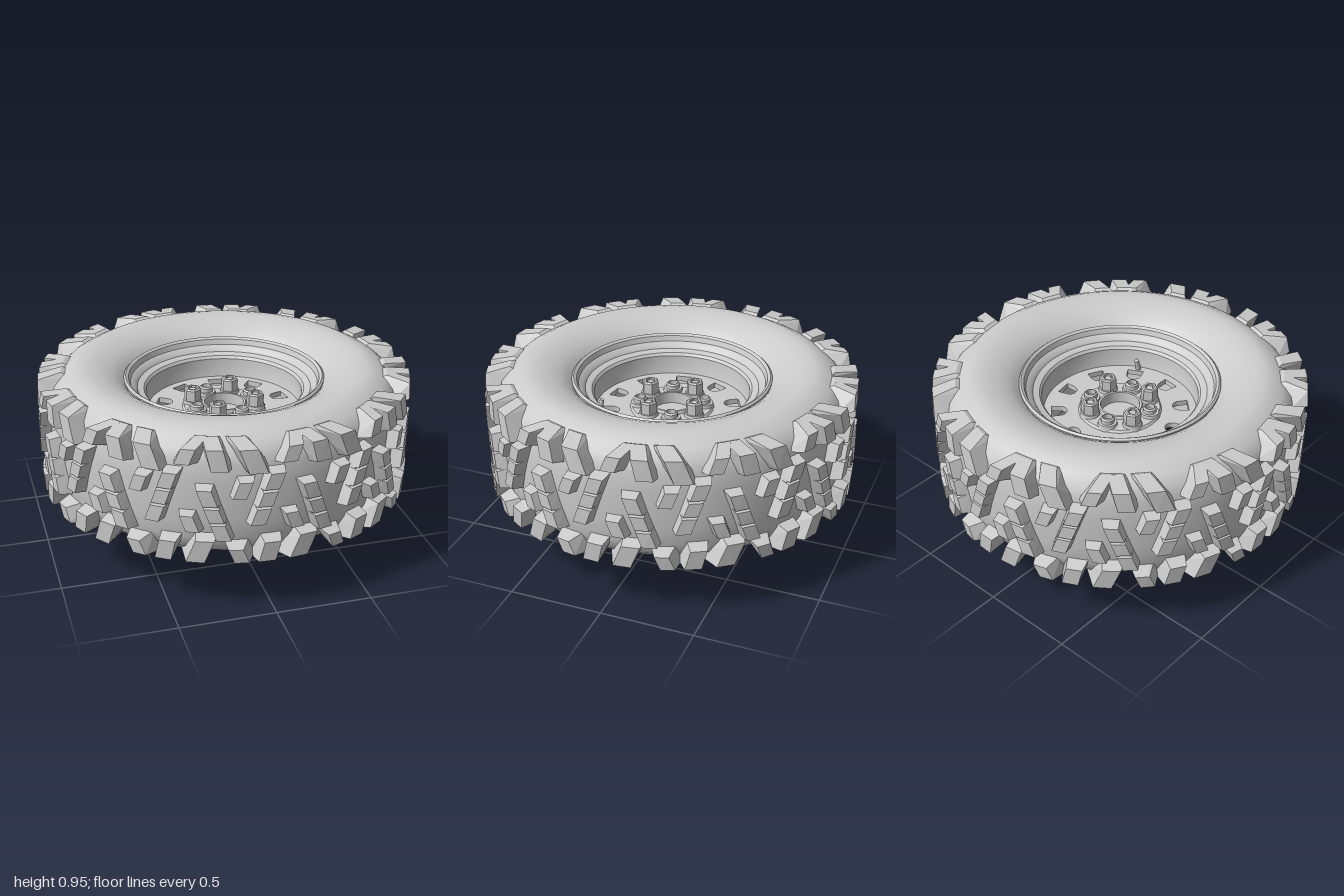
import * as THREE from 'three';
import { mergeGeometries, toCreasedNormals } from 'three/addons/utils/BufferGeometryUtils.js';
import { ConvexGeometry } from 'three/addons/geometries/ConvexGeometry.js';

const MID = 0.605; // height of the wheel's centre plane
const PERIODS = 12;
const DEG = Math.PI / 180;
const mat = new THREE.MeshStandardMaterial({ color: 0xcccccc });
const both = new THREE.MeshStandardMaterial({ color: 0xcccccc, side: THREE.DoubleSide });
const flat = new THREE.MeshStandardMaterial({ color: 0xcccccc, flatShading: true });

function add(group, name, geometry, material = mat) {
  const mesh = new THREE.Mesh(geometry, material);
  mesh.name = name;
  group.add(mesh);
  return mesh;
}

const lathe = (pts, seg = 72) =>
  toCreasedNormals(new THREE.LatheGeometry(pts.map(([r, y]) => new THREE.Vector2(r, y)), seg), 0.6);

// Horizontal plate with a round outline, a bore and optional cut-outs
function plate(outer, bore, y, thick, cutouts = []) {
  const shape = new THREE.Shape().absarc(0, 0, outer, 0, Math.PI * 2);
  if (bore) shape.holes.push(new THREE.Path().absarc(0, 0, bore, 0, Math.PI * 2, true));
  shape.holes.push(...cutouts);
  const g = new THREE.ExtrudeGeometry(shape, { depth: thick, bevelEnabled: false, curveSegments: 48 });
  return toCreasedNormals(g.rotateX(-Math.PI / 2).translate(0, y, 0), 0.6);
}

// Cut-out given by [sideways, radial] points, turned by an angle
function cutout(pts, a) {
  const c = Math.cos(a), s = Math.sin(a);
  return new THREE.Path(pts.map(([u, v]) => new THREE.Vector2(v * s + u * c, v * c - u * s)));
}

const polar = (g, r, a, y) => g.translate(r * Math.sin(a), y, -r * Math.cos(a));

// Tread block: profile of [radius, height above centre plane, half width], skewed as it runs outward
function lug(profile, angle, skew, pivot, flip) {
  const pts = [];
  for (const [r, h, w] of profile) {
    const run = h + (h > 0.2 ? 1 - r : 0) - pivot;
    for (const side of [-1, 1]) {
      const t = angle * DEG + skew * run + (side * w) / r;
      pts.push(new THREE.Vector3(r * Math.sin(t), MID + flip * h, r * Math.cos(t)));
    }
  }
  const g = new ConvexGeometry(pts);
  g.deleteAttribute('uv');
  return g;
}

function block(h0, h1, w, top, angle, skew, pivot, flip) {
  const b = 0.013;
  return lug([[0.91, h0 - b, w + b], [top, h0, w], [top, h1, w], [0.91, h1 + b, w + b]], angle, skew, pivot, flip);
}

function treadGeometry() {
  const parts = [];
  const shoulder = (w, start) => [
    [0.9, start - 0.012, w + 0.014], [0.995, start + 0.012, w], [0.988, 0.305, w],
    [0.865, 0.322, w * 0.9], [0.82, 0.3, w + 0.012], [0.9, 0.2, w + 0.014],
  ];
  for (let i = 0; i < PERIODS; i++) {
    // The lower half repeats the upper half, flipped and shifted by half a period
    for (const flip of [1, -1]) {
      const a = (i + (flip < 0 ? 0.5 : 0)) * (360 / PERIODS);
      // Long block split in three over a low core
      for (const [h0, h1] of [[-0.095, -0.01], [0.004, 0.078], [0.092, 0.175]])
        parts.push(block(h0, h1, 0.036, 0.997, a - 3, 0.36, 0.04, flip));
      parts.push(block(-0.09, 0.17, 0.036, 0.975, a - 3, 0.36, 0.04, flip));
      // Small block beside it
      parts.push(block(0.05, 0.135, 0.033, 0.992, a + 20, 0.38, 0.09, flip));
      // Shoulder lugs
      parts.push(lug(shoulder(0.046, 0.17), a - 7, -0.36, 0.25, flip));
      parts.push(lug(shoulder(0.036, 0.215), a + 3.5, 0.36, 0.25, flip));
      parts.push(lug(shoulder(0.042, 0.185), a + 13, -0.22, 0.25, flip));
    }
  }
  return mergeGeometries(parts);
}

function buildTyre() {
  const tyre = new THREE.Group();
  tyre.name = 'tyre';
  const half = [[0.935, 0.1], [0.928, 0.2], [0.905, 0.265], [0.86, 0.305], [0.8, 0.336], [0.76, 0.345],
    [0.71, 0.342], [0.65, 0.328], [0.595, 0.305], [0.55, 0.275], [0.525, 0.245], [0.5, 0.23]];
  const profile = [
    ...half.map(([r, h]) => [r, MID - h]).reverse(),
    [0.938, MID],
    ...half.map(([r, h]) => [r, MID + h]),
  ];
  add(tyre, 'carcass', lathe(profile, 96), both);
  add(tyre, 'treadBlocks', treadGeometry(), flat);
  return tyre;
}

function buildRim() {
  const rim = new THREE.Group();
  rim.name = 'rim';
  add(rim, 'barrel', lathe([
    [0.5, 0.83], [0.532, 0.85], [0.536, 0.874], [0.525, 0.884], [0.51, 0.874], [0.5, 0.845], [0.475, 0.83],
    [0.465, 0.815], [0.43, 0.805], [0.418, 0.79], [0.415, 0.69], [0.39, 0.63], [0.385, 0.51], [0.425, 0.46],
    [0.43, 0.39], [0.47, 0.375], [0.5, 0.355], [0.512, 0.33], [0.525, 0.322], [0.536, 0.335], [0.532, 0.36], [0.5, 0.38],
  ]), both);

  // Wheel disc with ten rounded vent slots
  const slot = [[-0.045, 0.37], [0.045, 0.37]];
  for (let i = 0; i <= 8; i++) {
    const t = (i / 8) * Math.PI;
    slot.push([0.04 * Math.cos(t), 0.325 - 0.04 * Math.sin(t)]);
  }
  const slots = [];
  for (let i = 0; i < 10; i++) slots.push(cutout(slot, (8 + i * 36) * DEG));
  add(rim, 'wheelDisc', plate(0.412, 0.108, 0.655, 0.03, slots));
  add(rim, 'mountingFace', lathe([[0.228, 0.68], [0.215, 0.698], [0.125, 0.7], [0.118, 0.715], [0.106, 0.715], [0.104, 0.64]]), both);

  // Valve stem
  const valve = new THREE.CylinderGeometry(0.012, 0.016, 0.07, 10).rotateX(-0.25);
  add(rim, 'valveStem', polar(valve, 0.385, 153 * DEG, 0.715));
  return rim;
}

function buildFasteners() {
  const group = new THREE.Group();
  group.name = 'fasteners';
  const tube = (outer, inner, h, seg) => new THREE.LatheGeometry(
    [[outer, 0], [outer, h - 0.008], [outer - 0.008, h], [inner, h], [inner, h - 0.03], [0, h - 0.03]]
      .map(([r, y]) => new THREE.Vector2(r, y)), seg);
  for (let i = 0; i < 8; i++) {
    const a = (25.8 + i * 45) * DEG;
    const nut = i % 2 === 0;
    add(group, 'boss', polar(toCreasedNormals(new THREE.CylinderGeometry(0.05, 0.056, 0.03, 24), 0.6), 0.172, a, 0.7));
    if (nut) {
      add(group, 'wheelNut', polar(toCreasedNormals(tube(0.047, 0.027, 0.07, 6), 0.5), 0.172, a, 0.712), both);
      add(group, 'stud', polar(toCreasedNormals(new THREE.CylinderGeometry(0.018, 0.018, 0.05, 12), 0.6), 0.172, a, 0.75));
    } else {
      add(group, 'boltSeat', polar(toCreasedNormals(tube(0.036, 0.026, 0.035, 20), 0.5), 0.172, a, 0.71), both);
    }
  }
  return group;
}

function buildHub() {
  const hub = new THREE.Group();
  hub.name = 'hub';
  add(hub, 'hubBody', lathe([[0, 0.25], [0.1, 0.25], [0.1, 0.28], [0.12, 0.3], [0.12, 0.64], [0.1, 0.655], [0, 0.655]], 40), both);
  add(hub, 'axle', toCreasedNormals(new THREE.CylinderGeometry(0.036, 0.036, 0.28, 12).translate(0, 0.14, 0), 0.4));

  // Brake rotor with swept slots
  const cuts = [];
  for (let i = 0; i < 12; i++) {
    const a = i * 30 * DEG;
    cuts.push(cutout([[-0.022, 0.225], [-0.008, 0.222], [0.034, 0.282], [0.02, 0.287]], a));
    cuts.push(cutout([[0.04, 0.232], [0.052, 0.23], [0.06, 0.25], [0.048, 0.252]], a));
  }
  add(hub, 'brakeRotor', plate(0.313, 0.185, 0.208, 0.012, cuts));

  // Carrier: inner ring, flaring struts and upper ring
  add(hub, 'carrierRing', plate(0.1, 0, 0.209, 0.016));
  add(hub, 'carrierFlange', lathe([[0.175, 0.275], [0.195, 0.258], [0.215, 0.262], [0.2, 0.285], [0.12, 0.31]], 40), both);
  for (let i = 0; i < 8; i++) {
    const strut = new THREE.Group();
    strut.name = 'carrierStrut';
    strut.rotation.y = i * 45 * DEG;
    add(strut, 'flaringArm', new THREE.BoxGeometry(0.135, 0.014, 0.035).rotateZ(0.42).translate(0.14, 0.243, 0));
    add(strut, 'rotorArm', new THREE.BoxGeometry(0.12, 0.01, 0.03).translate(0.14, 0.215, 0));
    hub.add(strut);
  }
  return hub;
}

export function createModel() {
  const model = new THREE.Group();
  model.name = 'offRoadWheel';
  model.add(buildTyre(), buildRim(), buildFasteners(), buildHub());
  return model;
}
